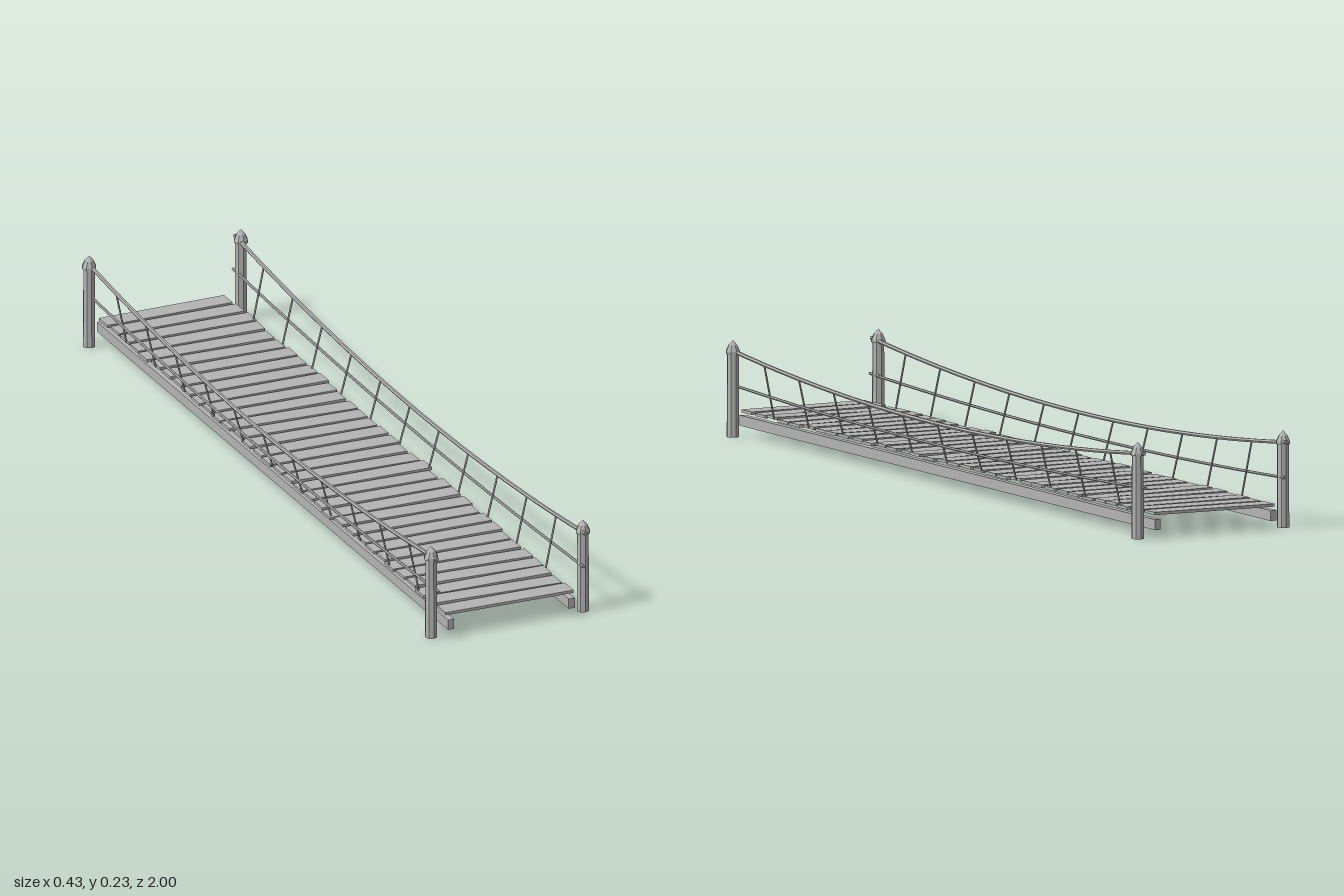
import * as THREE from 'three';

const wood = new THREE.MeshStandardMaterial({ color: 0xb4b4b4 });
wood.name = 'plain grey';

export function createModel() {
  const bridge = new THREE.Group();
  bridge.name = 'ropeBridge';

  const add = (name, geometry, x = 0, y = 0, z = 0) => {
    const flat = geometry.index ? geometry.toNonIndexed() : geometry;
    flat.computeVertexNormals();
    const mesh = new THREE.Mesh(flat, wood);
    mesh.name = name;
    mesh.position.set(x, y, z);
    bridge.add(mesh);
    return mesh;
  };

  // small seeded generator for the uneven planks, giving -1 to 1
  let seed = 17;
  const jitter = () => {
    seed = (seed * 16807) % 2147483647;
    return (seed / 2147483647) * 2 - 1;
  };

  // deck planks
  const count = 34;
  for (let i = 0; i < count; i++) {
    const z = -0.966 + (i * 1.93) / (count - 1);
    const plank = add('plank', new THREE.BoxGeometry(0.33 + 0.006 * jitter(), 0.007, 0.049),
      0.004 * jitter(), 0.0575, z);
    plank.rotation.z = 0.011 * jitter();
    plank.rotation.y = 0.008 * jitter();
  }

  // sagging rope: height at the middle plus a parabola towards the ends
  const rope = (name, x, low, sag, radius) => {
    const points = [];
    for (let i = 0; i <= 12; i++) {
      const z = -1 + i / 6;
      points.push(new THREE.Vector3(x, low + sag * z * z, z));
    }
    const curve = new THREE.CatmullRomCurve3(points);
    add(name, new THREE.TubeGeometry(curve, 24, radius, 6));
    // end caps
    for (const end of [-1, 1]) {
      const cap = add(name + 'End', new THREE.CircleGeometry(radius, 6), x, low + sag, end);
      if (end < 0) cap.rotation.y = Math.PI;
    }
  };

  // post cap profile
  const capProfile = [[0, 0.198], [0.0175, 0.198], [0.0175, 0.204], [0.011, 0.218], [0, 0.23]]
    .map(([r, y]) => new THREE.Vector2(r, y));

  for (const side of [-1, 1]) {
    // beam under the deck
    add('beam', new THREE.BoxGeometry(0.016, 0.025, 2), side * 0.156, 0.0335, 0);

    // corner posts with pointed caps
    for (const end of [-1, 1]) {
      add('post', new THREE.CylinderGeometry(0.0145, 0.0152, 0.2, 8), side * 0.196, 0.1, end * 0.975);
      add('postCap', new THREE.LatheGeometry(capProfile, 8), side * 0.196, 0, end * 0.975);
    }

    rope('handRope', side * 0.192, 0.152, 0.053, 0.005);
    rope('middleRope', side * 0.187, 0.1, 0.021, 0.0035);

    // hangers from hand rope to deck edge
    for (let i = -5; i <= 5; i++) {
      const z = i / 6;
      const top = new THREE.Vector3(side * 0.191, 0.152 + 0.053 * z * z, z);
      const foot = new THREE.Vector3(side * 0.164, 0.058, z);
      const line = new THREE.LineCurve3(foot, top);
      add('hanger', new THREE.TubeGeometry(line, 1, 0.0024, 5));
    }
  }
  return bridge;
}
